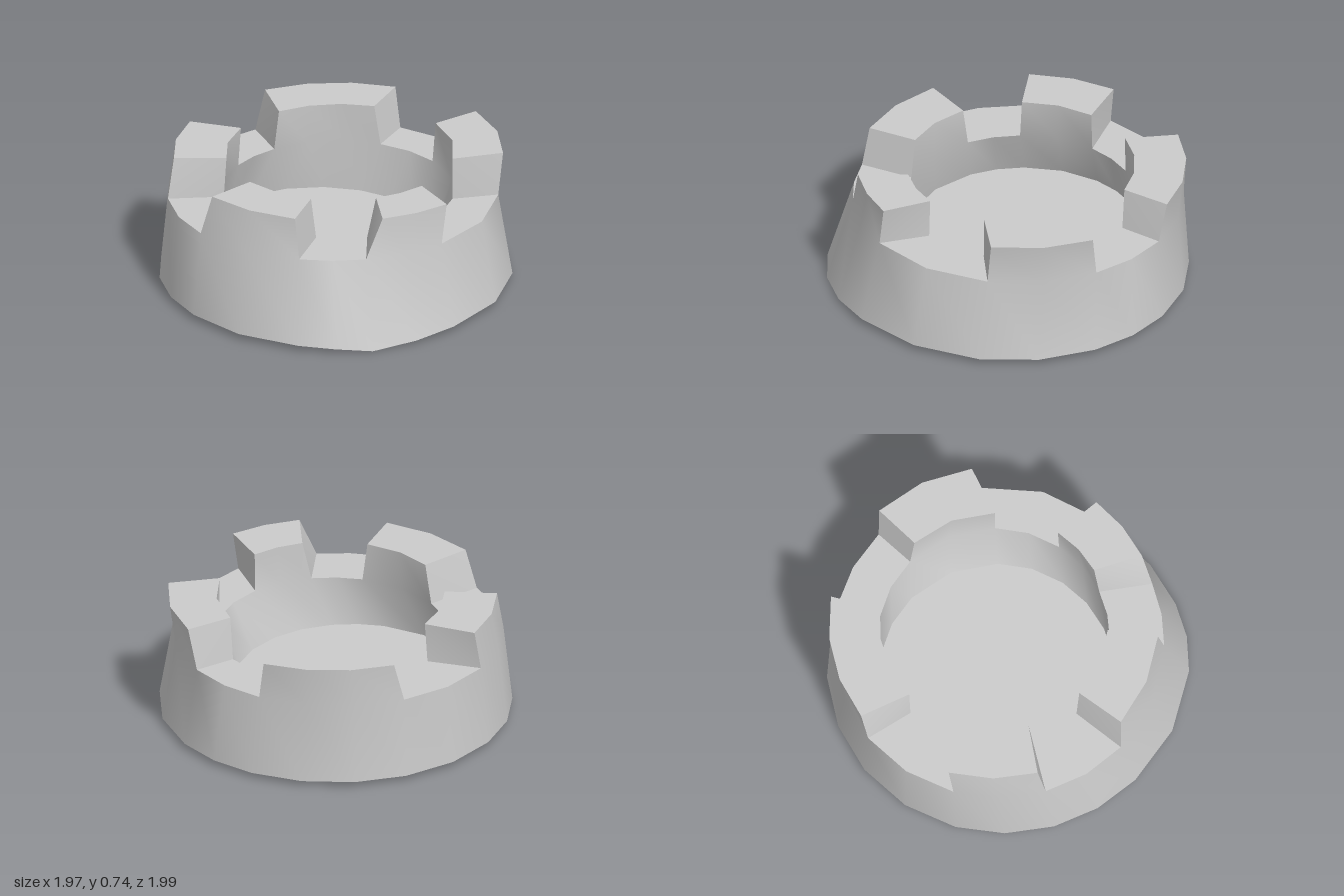
import * as THREE from 'three';
import { toCreasedNormals } from 'three/addons/utils/BufferGeometryUtils.js';

const RIM = 0.035, NOTCH = 0.5, TOP = 0.73, FLOOR = 0.21;
const rad = THREE.MathUtils.degToRad, lerp = THREE.MathUtils.lerp;

// Leaning surfaces as circles: [height, centre x, centre z, radius]
const outerRings = [[RIM, 0, -0.01, 0.985], [NOTCH, -0.03, -0.03, 0.922], [TOP, -0.015, -0.065, 0.918]];
const innerRings = [[FLOOR, -0.115, -0.01, 0.655], [NOTCH, -0.012, -0.064, 0.645], [TOP, -0.005, -0.068, 0.637]];

// Merlons: [outer, inner, widening at foot] angles of the two ends (degrees, +x towards +z), top height
const merlons = [
  [[18.8, 14.4, 0], [44.3, 41.6, 4], TOP],
  [[75.1, 74.6, -3.5], [109.7, 111.8, 3], TOP],
  [[144.7, 142.6, -1], [176, 180, 0], TOP],
  [[213.6, 207.7, -1.5], [260.2, 257.3, 3.8], TOP],
  [[296.4, 296.5, -2.5], [332.7, 340.8, 0], 0.745],
];

// Point on a leaning surface, with an optional bulge at its foot
function onRings(rings, deg, y, bulge = 0) {
  const a = rad(deg), i = y > NOTCH ? 1 : 0, [low, high] = [rings[i], rings[i + 1]];
  const t = (y - low[0]) / (high[0] - low[0]);
  const [cx, cz, r] = [1, 2, 3].map(k => lerp(low[k], high[k], t));
  return [cx + (r + bulge) * Math.cos(a), y, cz + (r + bulge) * Math.sin(a)];
}
const outer = (deg, y) => onRings(outerRings, deg, y);
const inner = (deg, y) => onRings(innerRings, deg, y);

// Foot of the outer wall, bulging at the front left and dipping at one corner
function rim(deg) {
  const p = onRings(outerRings, deg, RIM, 0.05 * Math.max(0, Math.cos(rad(deg - 60))) ** 4);
  p[1] = RIM * (1 - Math.max(0, Math.cos(rad(deg - 46))) ** 40);
  return p;
}

const quad = (out, a, b, c, d) => out.push(...a, ...b, ...c, ...a, ...c, ...d);

// Skin between two rows of points
function strip(out, low, high) {
  for (let i = 0; i + 1 < low.length; i++) quad(out, low[i], high[i], high[i + 1], low[i + 1]);
}

// Evenly divided angles of one sector
function divide(a, b, n) {
  return Array.from({ length: n + 1 }, (_, i) => lerp(a, b, i / n));
}

export function createModel() {
  const group = new THREE.Group();
  const material = new THREE.MeshStandardMaterial({ color: 0xcccccc, side: THREE.DoubleSide });
  const parts = { outerWall: [], innerWall: [], merlonCaps: [], merlonCheeks: [], notchLedges: [], floor: [] };

  // Lower body of one sector: outer skirt, well wall and floor
  function body(oa, ia) {
    strip(parts.outerWall, oa.map(rim), oa.map(a => outer(a, NOTCH)));
    const base = ia.map(a => inner(a, FLOOR));
    strip(parts.innerWall, ia.map(a => inner(a, NOTCH)), base);
    const [, cx, cz] = innerRings[0];
    for (let i = 0; i + 1 < base.length; i++) parts.floor.push(...base[i], cx, FLOOR, cz, ...base[i + 1]);
  }

  merlons.forEach(([start, end, top], k) => {
    // Merlon: wall faces, cap and two cheeks
    const n = Math.max(2, Math.round((end[0] - start[0]) / 16));
    const oTop = divide(start[0], end[0], n).map(a => [...outer(a, TOP)]);
    const iTop = divide(start[1], end[1], n).map(a => [...inner(a, TOP)]);
    [...oTop, ...iTop].forEach(p => { p[1] = top; });
    const oa = divide(start[0] + start[2], end[0] + end[2], n);
    const ia = divide(start[1] + start[2], end[1] + end[2], n);
    const oLow = oa.map(a => outer(a, NOTCH)), iLow = ia.map(a => inner(a, NOTCH));
    strip(parts.outerWall, oLow, oTop);
    strip(parts.merlonCaps, oTop, iTop);
    strip(parts.innerWall, iTop, iLow);
    quad(parts.merlonCheeks, oLow[0], iLow[0], iTop[0], oTop[0]);
    quad(parts.merlonCheeks, oLow[n], oTop[n], iTop[n], iLow[n]);
    body(oa, ia);

    // Notch between this merlon and the next
    const next = merlons[(k + 1) % merlons.length][0], turn = k === merlons.length - 1 ? 360 : 0;
    const no = divide(oa[n], next[0] + next[2] + turn, 2);
    const ni = divide(ia[n], next[1] + next[2] + turn, 2);
    strip(parts.notchLedges, no.map(a => outer(a, NOTCH)), ni.map(a => inner(a, NOTCH)));
    body(no, ni);
  });

  for (const [name, positions] of Object.entries(parts)) {
    const geometry = new THREE.BufferGeometry();
    geometry.setAttribute('position', new THREE.Float32BufferAttribute(positions, 3));
    const mesh = new THREE.Mesh(toCreasedNormals(geometry, 0.8), material);
    mesh.name = name;
    group.add(mesh);
  }
  return group;
}
